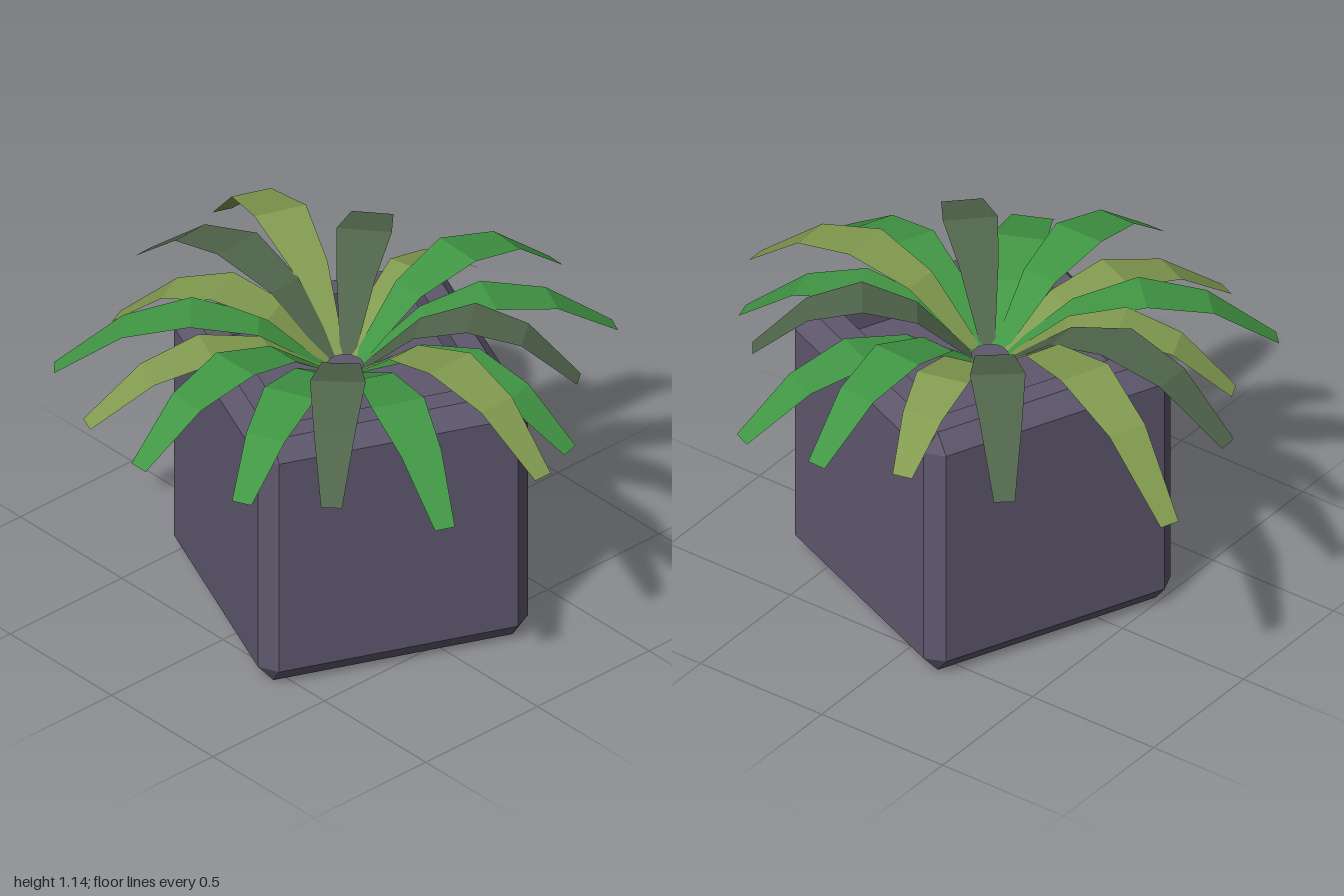
import * as THREE from 'three';

const PURPLE = 0x5f586e, GREEN = 0x419644, OLIVE = 0x829b50, SLATE = 0x50644b;

const material = (color, side = THREE.FrontSide) =>
  new THREE.MeshStandardMaterial({ color, flatShading: true, side });

function facets(triangles) {
  const geometry = new THREE.BufferGeometry().setFromPoints(triangles.flat());
  geometry.computeVertexNormals();
  return geometry;
}

// Square ring with cut corners: a = half width, b = half length of each flat side
function ring(y, a, b) {
  const pts = [];
  for (let i = 0; i < 4; i++) {
    for (const s of [-b, b]) {
      pts.push(new THREE.Vector3(s, y, a).applyAxisAngle(new THREE.Vector3(0, 1, 0), i * Math.PI / 2));
    }
  }
  return pts;
}

// Bevelled cube pot with a flat rim and a sunken floor
function createPot() {
  const rings = [
    ring(0, 0.42, 0.42),
    ring(0.065, 0.475, 0.42),
    ring(0.89, 0.475, 0.42),
    ring(0.955, 0.42, 0.42),
    ring(0.955, 0.34, 0.34),
    ring(0.87, 0.34, 0.34),
  ];
  const tris = [];
  const add = (...t) => {
    if (new THREE.Triangle(...t).getArea() > 1e-7) tris.push(t);
  };
  for (let r = 0; r < rings.length - 1; r++) {
    const lo = rings[r], hi = rings[r + 1];
    for (let i = 0; i < 8; i++) {
      const j = (i + 1) % 8;
      add(lo[i], lo[j], hi[j]);
      add(lo[i], hi[j], hi[i]);
    }
  }
  // Underside and inner floor
  const base = rings[0], floor = rings[rings.length - 1];
  for (let i = 0; i < 8; i++) {
    const j = (i + 1) % 8;
    add(new THREE.Vector3(0, 0, 0), base[j], base[i]);
    add(new THREE.Vector3(0, 0.87, 0), floor[i], floor[j]);
  }
  const pot = new THREE.Mesh(facets(tris), material(PURPLE));
  pot.name = 'pot';
  pot.position.set(0.01, 0, 0.07);
  pot.rotation.y = -0.4;
  return pot;
}

// Flat arching blade in four segments, widest at its crest
const WIDTHS = [0.05, 0.13, 0.185, 0.14, 0.07];
function createLeaf([color, tipX, tipZ, tipY, peak]) {
  const rootY = 0.885;
  const centre = new THREE.Vector2(0.01, 0.04);
  const tip = new THREE.Vector2(tipX, tipZ);
  const dir = tip.clone().sub(centre).normalize();
  const root = centre.clone().addScaledVector(dir, 0.06);
  const sections = WIDTHS.map((w, i) => {
    const t = i / 4;
    const p = root.clone().lerp(tip, t);
    // Parabola through root, crest and tip
    const y = rootY * (1 - t) * (1 - 2 * t) + peak * 4 * t * (1 - t) + tipY * t * (2 * t - 1);
    return [-w / 2, w / 2].map(s => new THREE.Vector3(p.x + dir.y * s, y, p.y - dir.x * s));
  });
  const tris = [];
  for (let i = 0; i < 4; i++) {
    const [a, b] = sections[i], [c, d] = sections[i + 1];
    tris.push([a, c, d], [a, d, b]);
  }
  const leaf = new THREE.Mesh(facets(tris), material(color, THREE.DoubleSide));
  leaf.name = 'leaf';
  return leaf;
}

// Colour, tip x, tip z, tip height, crest height
const LEAVES = [
  [OLIVE, 0.025, 1.0, 0.9, 1.135],
  [GREEN, 0.25, 0.885, 0.85, 1.06],
  [SLATE, 0.49, 0.665, 0.92, 1.12],
  [GREEN, 0.865, 0.43, 0.855, 1.06],
  [GREEN, 0.915, 0.085, 0.92, 1.14],
  [OLIVE, 0.74, -0.14, 0.87, 1.05],
  [SLATE, 0.67, -0.51, 0.88, 1.12],
  [OLIVE, 0.39, -0.985, 0.83, 1.145],
  [SLATE, -0.035, -0.91, 0.89, 1.13],
  [OLIVE, -0.33, -0.715, 0.86, 1.08],
  [GREEN, -0.68, -0.635, 0.85, 1.08],
  [OLIVE, -0.82, -0.32, 0.84, 1.05],
  [GREEN, -0.915, 0.04, 0.885, 1.105],
  [GREEN, -0.775, 0.395, 0.855, 1.05],
  [SLATE, -0.6, 0.645, 0.88, 1.12],
  [GREEN, -0.355, 0.935, 0.83, 1.05],
];

export function createModel() {
  const model = new THREE.Group();
  model.name = 'pottedPlant';
  const foliage = new THREE.Group();
  foliage.name = 'foliage';
  LEAVES.forEach(l => foliage.add(createLeaf(l)));
  model.add(createPot(), foliage);
  return model;
}
